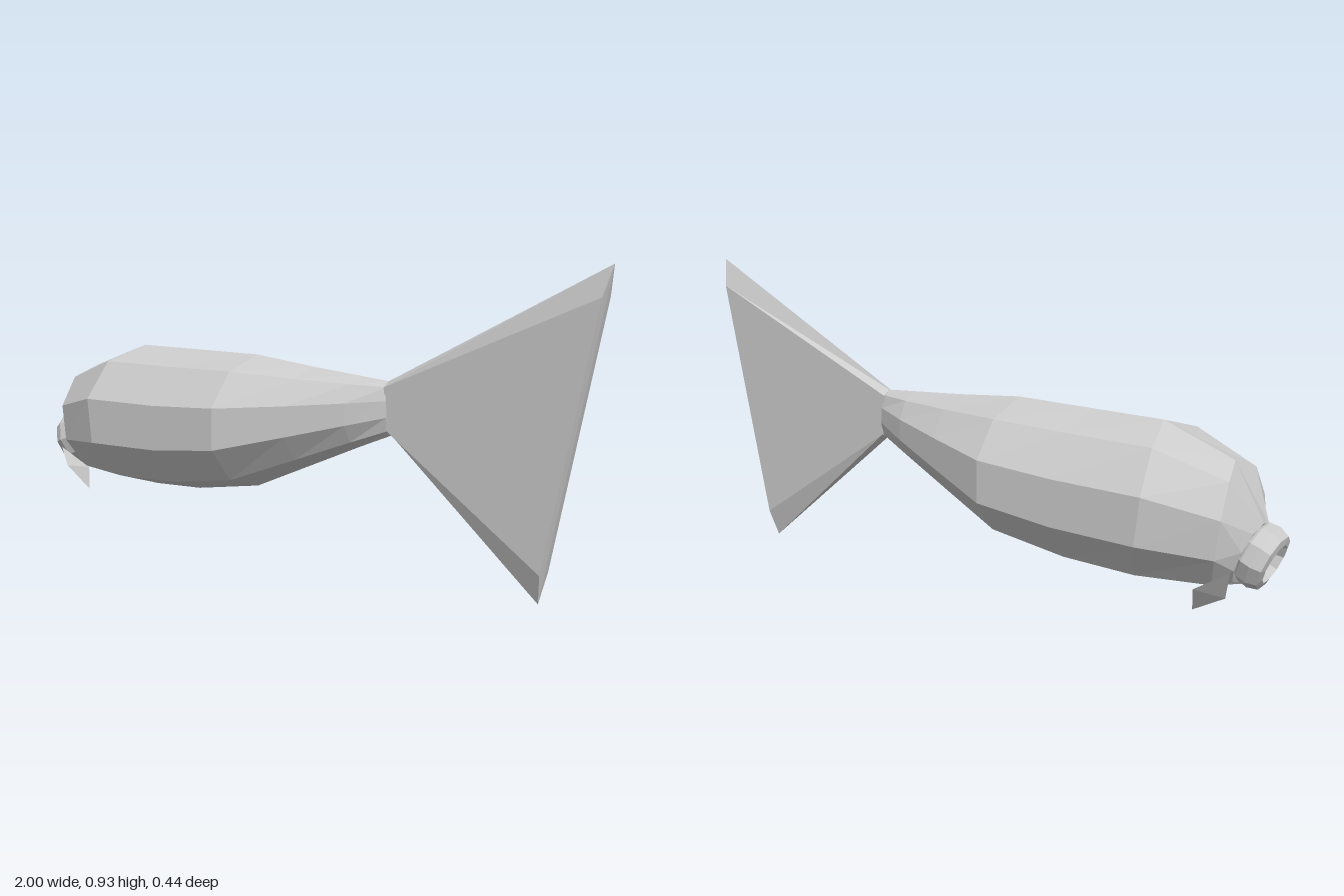
import * as THREE from 'three';

const material = new THREE.MeshStandardMaterial({ color: 0xcccccc, flatShading: true, side: THREE.DoubleSide });

function makeMesh(name, geometry) {
  const mesh = new THREE.Mesh(geometry, material);
  mesh.name = name;
  return mesh;
}

function fromFaces(points, faces) {
  const geometry = new THREE.BufferGeometry();
  geometry.setAttribute('position', new THREE.Float32BufferAttribute(points.flat(), 3));
  geometry.setIndex(faces.flat());
  const flat = geometry.toNonIndexed();
  flat.computeVertexNormals();
  return flat;
}

// Skins closed rings (top, +z side, bottom, -z side) from -x to +x and caps both ends.
function loft(rings) {
  const n = rings[0].length;
  const last = (rings.length - 1) * n;
  const faces = [];
  for (let i = 0; i < rings.length - 1; i++) {
    for (let j = 0; j < n; j++) {
      const a = i * n + j;
      const b = i * n + (j + 1) % n;
      faces.push([a, b, a + n], [b, b + n, a + n]);
    }
  }
  for (let j = 1; j < n - 1; j++) {
    faces.push([0, j + 1, j], [last, last + j, last + j + 1]);
  }
  return fromFaces(rings.flat(), faces);
}

// Ten-sided body ring between a top and a bottom point; bulge shifts its sides along x.
function bodyRing([topX, topY, bottomX, bottomY, halfWidth, bulge]) {
  const ring = [];
  for (let j = 0; j < 10; j++) {
    const angle = j * Math.PI / 5;
    const t = (1 - Math.cos(angle)) / 2;
    const side = Math.sin(angle) / Math.sin(Math.PI * 0.4);
    ring.push([
      topX + (bottomX - topX) * t + bulge * Math.abs(side),
      topY + (bottomY - topY) * t,
      halfWidth * side,
    ]);
  }
  return ring;
}

// Six-sided tail section with sharp upper and lower edges.
function tailRing([topX, topY], [upperX, upperY], [lowerX, lowerY], [bottomX, bottomY]) {
  const w = 0.026;
  return [
    [topX, topY, 0], [upperX, upperY, w], [lowerX, lowerY, w],
    [bottomX, bottomY, 0], [lowerX, lowerY, -w], [upperX, upperY, -w],
  ];
}

export function createModel() {
  const group = new THREE.Group();
  group.name = 'fish';

  // Body: topX, topY, bottomX, bottomY, halfWidth, bulge
  const sections = [
    [-0.935, 0.38, -0.87, 0.2, 0.085, 0],
    [-0.845, 0.54, -0.8, 0.175, 0.143, -0.045],
    [-0.63, 0.62, -0.58, 0.165, 0.22, -0.065],
    [-0.4, 0.62, -0.4, 0.172, 0.22, 0],
    [-0.16, 0.62, -0.16, 0.21, 0.22, 0],
    [0.05, 0.598, 0.05, 0.3, 0.143, 0],
    [0.22, 0.584, 0.22, 0.373, 0.08, 0],
    [0.325, 0.575, 0.335, 0.42, 0.03, 0],
  ];
  group.add(makeMesh('body', loft(sections.map(bodyRing))));

  // Tail fin
  group.add(makeMesh('tailFin', loft([
    tailRing([0.32, 0.575], [0.32, 0.56], [0.33, 0.435], [0.33, 0.42]),
    tailRing([1, 0.93], [0.98, 0.845], [0.825, 0.09], [0.81, 0.003]),
  ])));

  // Rounded lips around a shallow mouth opening
  const lipProfile = [
    [0.075, -0.045], [0.09, -0.025], [0.094, 0.005], [0.083, 0.035],
    [0.06, 0.04], [0.05, 0.015], [0, 0.005],
  ].map(([r, h]) => new THREE.Vector2(r, h));
  const mouth = makeMesh('mouth', new THREE.LatheGeometry(lipProfile, 10));
  mouth.rotation.z = 1.94;
  mouth.position.set(-0.935, 0.287, 0);
  group.add(mouth);

  // Small fins under the head
  for (const [name, s] of [['leftSideFin', 1], ['rightSideFin', -1]]) {
    const points = [
      [-0.865, 0.172, 0.067 * s], [-0.79, 0.138, 0.11 * s], [-0.82, 0.225, 0.178 * s],
      [-0.9, 0.27, 0.125 * s], [-0.81, 0.205, 0.09 * s],
    ];
    const faces = [[0, 1, 2], [0, 2, 3], [1, 0, 4], [2, 1, 4], [3, 2, 4], [0, 3, 4]];
    if (s > 0) faces.forEach((face) => face.reverse());
    group.add(makeMesh(name, fromFaces(points, faces)));
  }

  return group;
}
